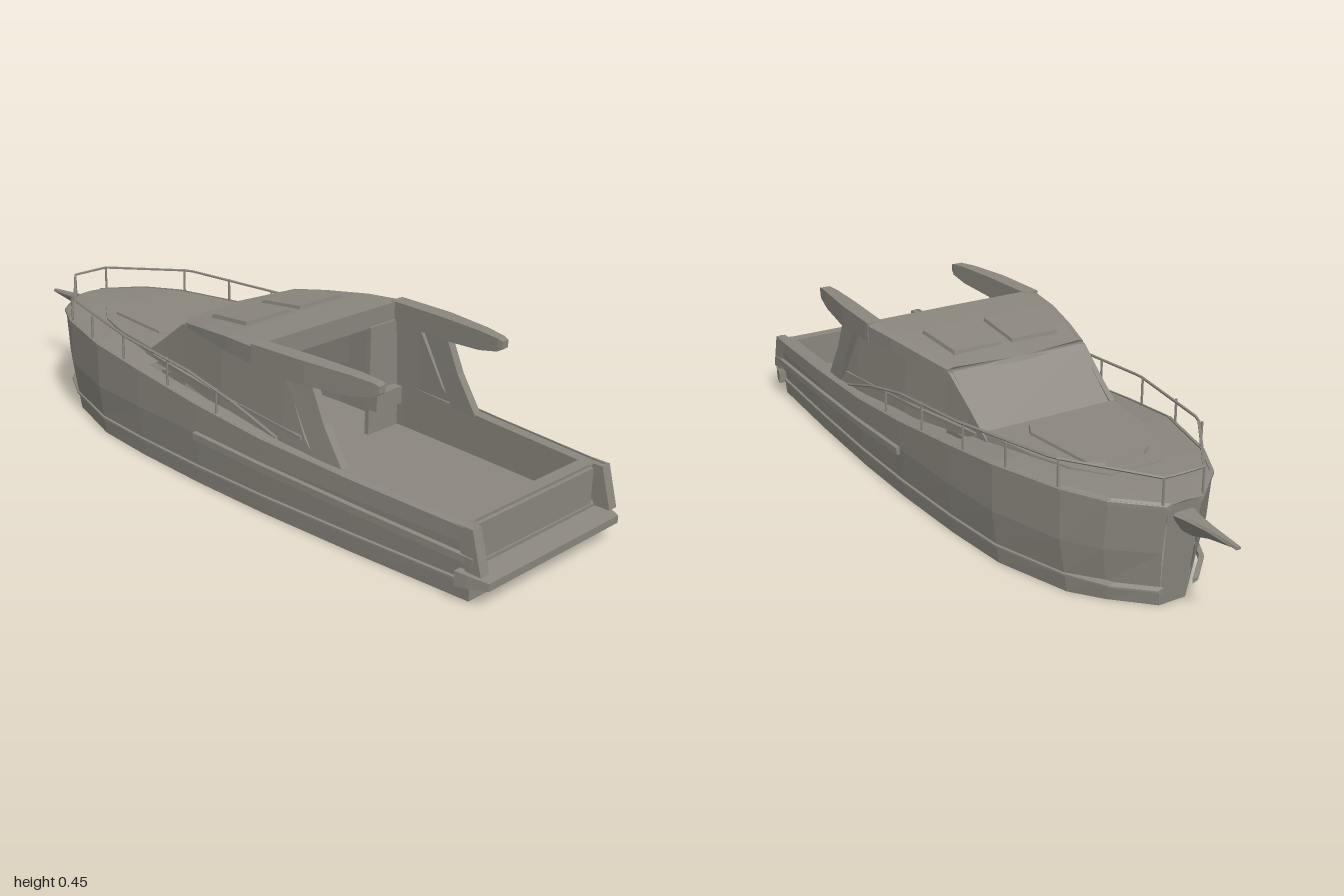
import * as THREE from 'three';

const grey = new THREE.MeshStandardMaterial({ color: 0x8a867e, flatShading: true, side: THREE.DoubleSide });
grey.name = 'warm grey';

// Hull stations: z, half beam at keel, half beam at sheer, sheer height
const STATIONS = [
  [-0.81, 0.04, 0.05, 0.28], [-0.72, 0.13, 0.155, 0.284], [-0.61, 0.19, 0.215, 0.286],
  [-0.4, 0.255, 0.275, 0.283], [-0.2, 0.272, 0.288, 0.264], [0.05, 0.28, 0.295, 0.238],
  [0.3, 0.278, 0.292, 0.216], [0.6, 0.265, 0.278, 0.202], [0.94, 0.243, 0.258, 0.192],
];
const lerp = THREE.MathUtils.lerp;
function at(z, k) {
  let i = 0;
  while (i < STATIONS.length - 2 && z > STATIONS[i + 1][0]) i++;
  const a = STATIONS[i], b = STATIONS[i + 1];
  return lerp(a[k], b[k], THREE.MathUtils.clamp((z - a[0]) / (b[0] - a[0]), 0, 1));
}
const hullX = (z, y) => lerp(at(z, 1), at(z, 2), Math.min(1, y / 0.15));
const spread = (z0, z1) =>
  [z0, ...STATIONS.map(s => s[0]).filter(z => z > z0 + 0.01 && z < z1 - 0.01), z1];

// Skins a list of cross-sections; closed rings can be capped at both ends
function loft(rings, closed = true, caps = closed) {
  const n = rings[0].length, pos = rings.flat(2), idx = [];
  for (let i = 0; i < rings.length - 1; i++) {
    for (let j = 0; j < (closed ? n : n - 1); j++) {
      const a = i * n + j, b = i * n + (j + 1) % n;
      idx.push(a, b, a + n, b, b + n, a + n);
    }
  }
  if (caps) {
    [0, rings.length - 1].forEach((r, end) => {
      const c = pos.length / 3;
      for (let k = 0; k < 3; k++) pos.push(rings[r].reduce((s, p) => s + p[k], 0) / n);
      for (let j = 0; j < n; j++) {
        const a = r * n + j, b = r * n + (j + 1) % n;
        if (end) idx.push(a, b, c); else idx.push(b, a, c);
      }
    });
  }
  const g = new THREE.BufferGeometry();
  g.setAttribute('position', new THREE.Float32BufferAttribute(pos, 3));
  g.setIndex(idx);
  const flat = g.toNonIndexed();
  flat.computeVertexNormals();
  return flat;
}
const rect = (x0, x1, y0, y1, z) => [[x0, y0, z], [x1, y0, z], [x1, y1, z], [x0, y1, z]];

export function createModel() {
  const boat = new THREE.Group();
  boat.name = 'motorBoat';
  const add = (name, geo) => {
    const m = new THREE.Mesh(geo, grey);
    m.name = name;
    boat.add(m);
    return m;
  };
  const box = (name, w, h, d, x, y, z) => {
    const m = add(name, new THREE.BoxGeometry(w, h, d));
    m.position.set(x, y, z);
    return m;
  };
  const pair = (name, geo) => {
    add(name + 'Left', geo);
    add(name + 'Right', geo).scale.x = -1;
  };

  // Hull shell with a nearly plumb bow
  add('hull', loft(spread(-0.81, 0.94).map(z => {
    const top = at(z, 3);
    const side = [0, 0.055, 0.15, top].map(y =>
      [hullX(z, y), y, z + (z < -0.7 ? 0.03 * (1 - y / top) : 0)]);
    return [...side.map(([x, y, q]) => [-x, y, q]).reverse(), ...side];
  }), false));
  add('stem', loft([[[-0.04, 0, -0.78], [0.04, 0, -0.78]], [[-0.05, 0.28, -0.81], [0.05, 0.28, -0.81]]], false));

  // Decks and cockpit liner
  add('foredeck', loft(spread(-0.81, -0.2).map(z =>
    [-1, 0, 1].map(s => [s * at(z, 2), at(z, 3) + (s ? 0 : 0.003), z])), false));
  const inner = z => at(z, 2) - 0.04;
  pair('sideDeck', loft(spread(-0.25, 0.93).map(z =>
    [[at(z, 2), at(z, 3), z], [inner(z), at(z, 3), z]]), false));
  add('cockpitLiner', loft(spread(-0.22, 0.9).map(z => {
    const x = inner(z), y = at(z, 3);
    return [[-x, y, z], [-x, 0.09, z], [x, 0.09, z], [x, y, z]];
  }), false));

  // Stern: transom, cap rail, corner posts and swim platform
  add('transom', loft([rect(-0.225, 0.225, 0.08, 0.188, 0.895), rect(-0.225, 0.225, 0.08, 0.185, 0.935)]));
  add('transomLower', loft([rect(-0.243, 0.243, 0, 0.09, 0.92), rect(-0.243, 0.243, 0, 0.09, 0.94)]));
  box('transomCap', 0.5, 0.012, 0.035, 0, 0.187, 0.908);
  pair('cornerPost', loft([
    [[0.232, 0.085, 0.94], [0.262, 0.085, 0.94], [0.262, 0.085, 0.985], [0.232, 0.085, 0.985]],
    [[0.232, 0.193, 0.9], [0.262, 0.193, 0.9], [0.262, 0.193, 0.955], [0.232, 0.193, 0.955]],
  ]));
  add('swimPlatform', loft([
    rect(-0.275, 0.275, 0.045, 0.084, 0.92), rect(-0.268, 0.268, 0.047, 0.08, 0.95),
    rect(-0.25, 0.25, 0.052, 0.072, 1.0),
  ]));

  // Strips that follow the hull side
  const strip = (name, z0, z1, lo, hi, out) => pair(name, loft(spread(z0, z1).map(z => {
    const a = lo(z), b = hi(z), x = hullX(z, a);
    return [[x - 0.01, a, z], [x + out, a + 0.005, z], [x + out, b - 0.006, z], [x - 0.01, b, z]];
  })));
  strip('waterlineStrip', -0.8, 0.95, () => 0.044, () => 0.06, 0.007);
  strip('rubStrip', 0.05, 0.96, z => 0.133 - 0.035 * z, z => 0.163 - 0.036 * z, 0.012);
  strip('sheerStrip', -0.81, 0.95, z => at(z, 3) - 0.016, z => at(z, 3) + 0.004, 0.004);

  // Bowsprit
  add('bowsprit', loft([
    [-0.79, 0.038, 0.2, 0.257], [-0.84, 0.024, 0.203, 0.255], [-0.9, 0.014, 0.222, 0.253], [-1, 0.007, 0.24, 0.247],
  ].map(([z, w, y0, y1]) => [[0, y0, z], [w, y1 - 0.006, z], [w * 0.7, y1, z], [-w * 0.7, y1, z], [-w, y1 - 0.006, z]])));

  // Raised trunk and hatch on the foredeck
  const plate = (name, outline, y0, y1, inset) => {
    const pts = [...outline, ...outline.filter(p => p[0] > 0).map(([x, z]) => [-x, z]).reverse()];
    const cz = pts.reduce((s, p) => s + p[1], 0) / pts.length;
    add(name, loft([[1, y0], [inset, y1]].map(([k, y]) => pts.map(([x, z]) => [x * k, y, cz + (z - cz) * k]))));
  };
  plate('foredeckTrunk', [[0.08, -0.625], [0.14, -0.54], [0.18, -0.42], [0.21, -0.24]], 0.265, 0.291, 0.97);
  plate('foredeckHatch', [[0.06, -0.575], [0.095, -0.55], [0.115, -0.32], [0.09, -0.275]], 0.285, 0.298, 0.97);

  // Cabin sides: raked rear edge, narrowing toward the windscreen
  const cabinX = (z, y) => lerp(0.212, 0.268, THREE.MathUtils.smoothstep(z, -0.3, 0.3)) - (y - 0.2) * 0.06;
  const wall = (z, y0, y1) => [
    [cabinX(z, y0), y0, z], [cabinX(z, y0) - 0.016, y0, z],
    [cabinX(z, y1) - 0.016, y1, z], [cabinX(z, y1), y1, z]];
  pair('cabinSide', loft([
    wall(-0.265, 0.262, 0.274), wall(-0.18, 0.255, 0.335), wall(-0.09, 0.245, 0.402),
    wall(0.1, 0.225, 0.41), wall(0.35, 0.205, 0.395), wall(0.43, 0.2, 0.245), wall(0.46, 0.2, 0.215),
  ]));
  pair('cabinSideTrim', loft([[-0.22, 0.272], [0.05, 0.26], [0.42, 0.242]].map(([z, y]) => {
    const x = cabinX(z, y);
    return rect(x - 0.005, x + 0.007, y, y + 0.009, z);
  })));
  pair('roofPillar', loft([[0.2, 0.47, 0.555], [0.3, 0.415, 0.49], [0.398, 0.36, 0.445]].map(([y, z0, z1]) =>
    [[0.242, y, z0], [0.27, y, z0], [0.262, y, z1], [0.238, y, z1]])));
  add('windscreen', loft([
    [[-0.205, 0.268, -0.262], [0.205, 0.268, -0.262], [0.205, 0.262, -0.245], [-0.205, 0.262, -0.245]],
    [[-0.205, 0.404, -0.09], [0.205, 0.404, -0.09], [0.205, 0.404, -0.07], [-0.205, 0.404, -0.07]],
  ]));

  // Roof with a bowed front edge and two rear wings
  const roofRow = (z, w, y0, y1, bow) => [
    [-w, y0, z], [0, y0, z - bow], [w, y0, z], [w, y1 - 0.006, z],
    [w * 0.92, y1, z - bow * 0.15], [0, y1 + 0.001, z - bow], [-w * 0.92, y1, z - bow * 0.15], [-w, y1 - 0.006, z]];
  add('roof', loft([
    roofRow(-0.08, 0.215, 0.4, 0.414, 0.028), roofRow(0.02, 0.24, 0.399, 0.429, 0.01),
    roofRow(0.14, 0.264, 0.397, 0.443, 0), roofRow(0.265, 0.28, 0.396, 0.449, 0),
  ]));
  pair('roofWing', loft([
    rect(0.235, 0.28, 0.396, 0.45, 0.25), rect(0.225, 0.272, 0.388, 0.451, 0.43),
    rect(0.217, 0.253, 0.396, 0.448, 0.57), rect(0.214, 0.243, 0.408, 0.443, 0.63),
    rect(0.217, 0.239, 0.418, 0.438, 0.645),
  ]));
  pair('roofHatch', loft([
    [[0.015, 0.42, -0.03], [0.165, 0.42, -0.03], [0.18, 0.435, 0.122], [0.015, 0.435, 0.122]],
    [[0.018, 0.434, -0.027], [0.162, 0.434, -0.027], [0.176, 0.451, 0.119], [0.018, 0.451, 0.119]],
  ]));

  // Rear bulkhead either side of the doorway, dashboard and seats
  [-1, 1].forEach(s => {
    box('bulkhead', 0.115, 0.31, 0.014, s * 0.192, 0.245, 0.265);
    box('cabinSeat', 0.1, 0.05, 0.03, s * 0.185, 0.19, 0.285);
    box('dashPanel', 0.09, 0.012, 0.07, s * 0.09, 0.256, -0.06);
  });
  box('dashboard', 0.44, 0.16, 0.1, 0, 0.17, -0.13);

  // Steering wheel with a four-pointed hub
  const rim = add('steeringWheelRim', new THREE.TorusGeometry(0.042, 0.01, 4, 8));
  rim.position.set(0, 0.247, -0.03);
  for (const [x, y] of [[0.052, 0.013], [0.013, 0.055]]) {
    const spoke = add('steeringWheelSpoke', new THREE.OctahedronGeometry(1));
    spoke.scale.set(x, y, 0.013);
    spoke.position.set(0, 0.247, -0.03);
  }

  // Guard rail around the bow
  const side = [[0.36, 0.235], [0.2, 0.285], [0.03, 0.322], [-0.25, 0.343], [-0.58, 0.355], [-0.8, 0.35]]
    .map(([z, y]) => new THREE.Vector3(at(z, 2) + (z > -0.3 ? 0.004 : -0.004), y, z));
  const path = new THREE.CurvePath();
  const points = [...side, ...side.map(p => new THREE.Vector3(-p.x, p.y, p.z)).reverse()];
  for (let i = 0; i < points.length - 1; i++) path.add(new THREE.LineCurve3(points[i], points[i + 1]));
  add('guardRail', new THREE.TubeGeometry(path, 90, 0.004, 5));
  for (const [z, y] of [[-0.8, 0.35], [-0.6, 0.355], [-0.44, 0.35], [-0.27, 0.344], [-0.07, 0.33], [0.13, 0.3]]) {
    const base = at(z, 3);
    const post = new THREE.CylinderGeometry(0.0035, 0.0035, y - base, 5);
    post.translate(at(z, 2) - 0.003, (y + base) / 2, z);
    pair('railPost', post);
  }
  return boat;
}
